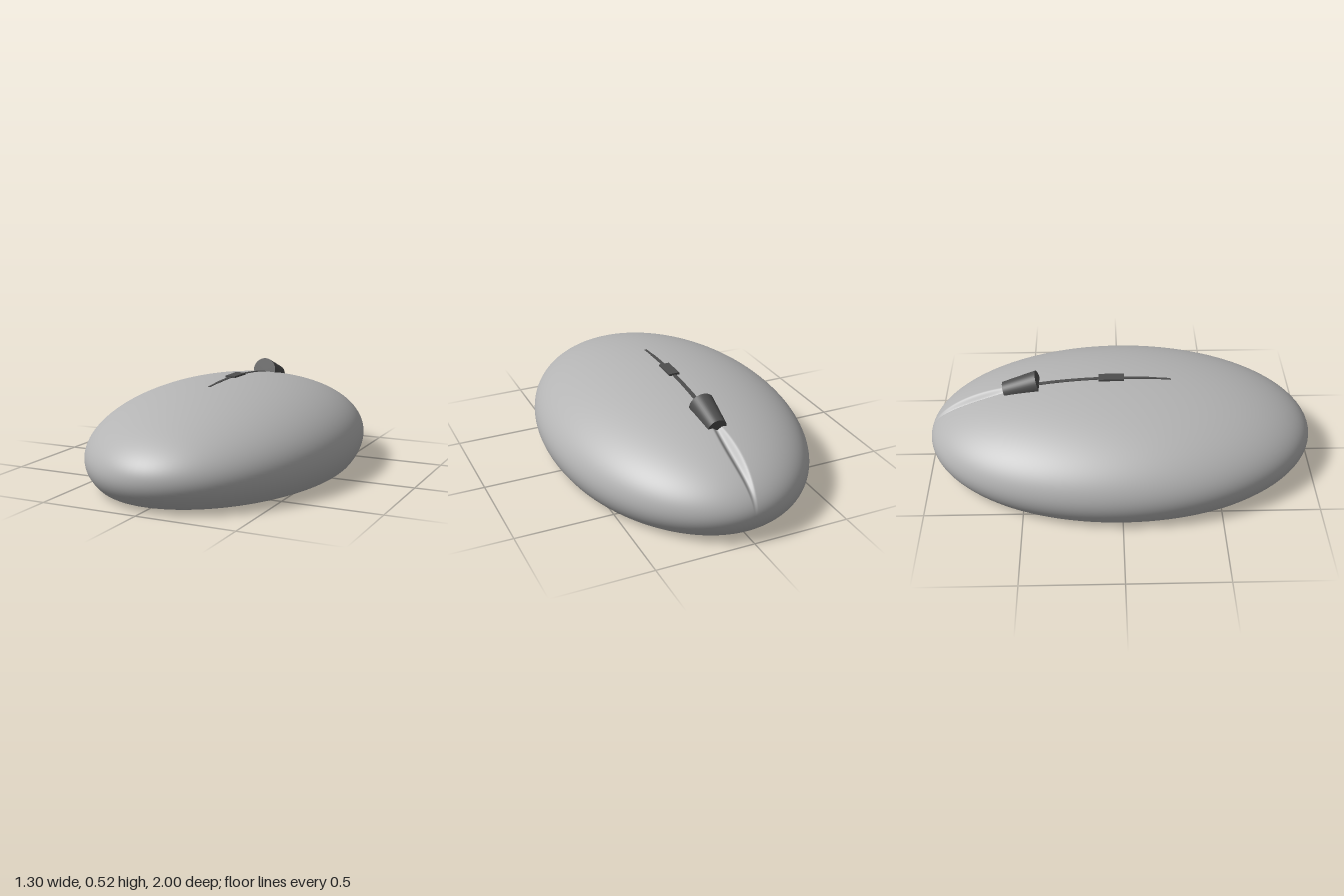
import * as THREE from 'three';
import { mergeVertices } from 'three/addons/utils/BufferGeometryUtils.js';

const HALF_W = 0.65, MID_Y = 0.15, RISE = 0.33;
const topY = (z) => MID_Y + RISE * Math.sqrt(Math.max(0, 1 - z * z));

// Flat-bottomed ellipsoid with a tapered groove down the rear centre line
function shellGeometry() {
  let geo = new THREE.SphereGeometry(1, 192, 112);
  geo.deleteAttribute('uv');
  geo.deleteAttribute('normal');
  const p = geo.attributes.position;
  const n = new THREE.Vector3();
  for (let i = 0; i < p.count; i++) {
    // crowd the segments toward the rear, where the groove is
    const r = Math.hypot(p.getX(i), p.getZ(i));
    const a = Math.atan2(p.getX(i), -p.getZ(i));
    const b = a - 0.93 * Math.sin(a);
    const ux = r * Math.sin(b), uz = -r * Math.cos(b), uy = p.getY(i);
    let x = ux * HALF_W, y = MID_Y + uy * RISE, z = uz;
    if (uy > -0.1 && z < -0.5) {
      const t = Math.sin(Math.PI * Math.min(1, (-z - 0.5) / 0.5));
      const w = 0.012 + 0.026 * t;
      const k = Math.max(0, 1 - Math.abs(x) / w);
      n.set(ux / HALF_W, uy / RISE, uz).normalize();
      const d = 0.03 * t * k * k * (3 - 2 * k);
      x -= n.x * d;
      y -= n.y * d;
      z -= n.z * d;
    }
    // nearly flat underside, lowest in the middle
    if (uy < 0) y = Math.max(y, 0.018 * Math.min(1, (r / 0.92) ** 2));
    p.setXYZ(i, x, y, z);
  }
  geo = mergeVertices(geo, 1e-5);
  geo.computeVertexNormals();
  return geo;
}

// Narrow strip that follows the top of the shell
function seamGeometry(z0, z1) {
  const geo = new THREE.BoxGeometry(1, 0.012, 1, 1, 1, 32);
  const p = geo.attributes.position;
  for (let i = 0; i < p.count; i++) {
    const t = p.getZ(i) + 0.5;
    const z = z0 + (z1 - z0) * t;
    const width = t > 0.9 ? 0.012 : 0.024 - 0.008 * t;
    p.setXYZ(i, p.getX(i) * width, topY(z) - 0.003 + p.getY(i), z);
  }
  geo.computeVertexNormals();
  return geo;
}

export function createModel() {
  const group = new THREE.Group();
  const shellGrey = new THREE.MeshStandardMaterial({ name: 'shellGrey', color: 0xb4b4b4 });
  const darkGrey = new THREE.MeshStandardMaterial({ name: 'darkGrey', color: 0x4e4e4e });
  const add = (name, geometry, material) => {
    const mesh = new THREE.Mesh(geometry, material);
    mesh.name = name;
    group.add(mesh);
    return mesh;
  };

  add('shell', shellGeometry(), shellGrey);
  add('buttonSeam', seamGeometry(-0.5, 0.26), darkGrey);

  // Small button on the crown
  add('modeButton', new THREE.BoxGeometry(0.055, 0.024, 0.13), darkGrey)
    .position.set(0, 0.477, -0.047);

  // Tapered roller lying along the centre line, half sunk in the shell
  const front = new THREE.Vector3(0, 0.458, -0.423);
  const rear = new THREE.Vector3(0, 0.408, -0.598);
  const roller = add('roller',
    new THREE.CylinderGeometry(0.065, 0.05, front.distanceTo(rear), 40), darkGrey);
  roller.position.copy(front).add(rear).multiplyScalar(0.5);
  roller.quaternion.setFromUnitVectors(
    new THREE.Vector3(0, 1, 0), front.clone().sub(rear).normalize());

  return group;
}
